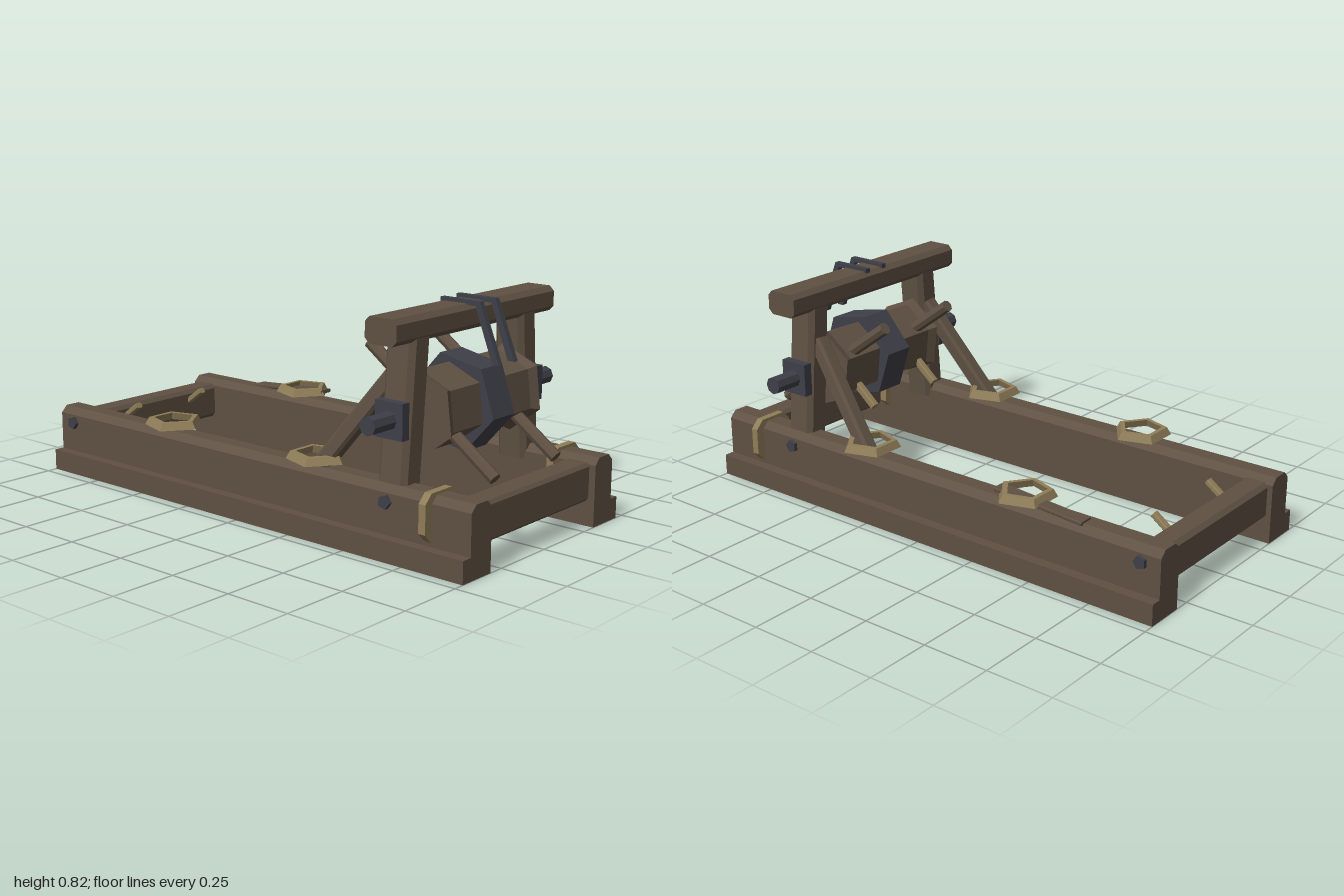
import * as THREE from 'three';

const wood = new THREE.MeshStandardMaterial({ color: 0x5f5143 });
wood.name = 'wood';
const rope = new THREE.MeshStandardMaterial({ color: 0x8f7d58 });
rope.name = 'rope';
const iron = new THREE.MeshStandardMaterial({ color: 0x3f3f49 });
iron.name = 'iron';

const V = (x, y, z) => new THREE.Vector3(x, y, z);
const AXLE_Y = 0.465, AXLE_Z = 0.652;

// Faceted normals for low-poly round parts
function faceted(geo) {
  const g = geo.index ? geo.toNonIndexed() : geo;
  g.computeVertexNormals();
  return g;
}

function poly(points) {
  return new THREE.Shape(points.map(([x, y]) => new THREE.Vector2(x, y)));
}

// Rectangle with cut corners
function chamferRect(w, h, c) {
  const a = w / 2, b = h / 2;
  return poly([[-a + c, -b], [a - c, -b], [a, -b + c], [a, b - c], [a - c, b], [-a + c, b], [-a, b - c], [-a, -b + c]]);
}

function extrude(shape, depth) {
  return new THREE.ExtrudeGeometry(shape, { depth, bevelEnabled: false }).translate(0, 0, -depth / 2);
}

// Chamfered beam from a to b; w is measured along the side direction
function beam(a, b, w, h, c, side) {
  const dir = b.clone().sub(a), len = dir.length();
  dir.normalize();
  const up = dir.clone().cross(side).normalize();
  const right = up.clone().cross(dir).normalize();
  const mid = a.clone().add(b).multiplyScalar(0.5);
  const m = new THREE.Matrix4().makeBasis(right, up, dir).setPosition(mid);
  return extrude(chamferRect(w, h, c), len).applyMatrix4(m);
}

// Lathed solid turned to lie along x
function turned(points, sides, phase = 0) {
  const pts = points.map(([r, y]) => new THREE.Vector2(r, y));
  return faceted(new THREE.LatheGeometry(pts, sides, phase).rotateZ(-Math.PI / 2));
}

function rod(r, x0, x1, sides) {
  return turned([[0, x0], [r, x0], [r, x1], [0, x1]], sides);
}

export function createModel() {
  const model = new THREE.Group();
  model.name = 'windlassFrame';
  const add = (name, geo, mat) => {
    const mesh = new THREE.Mesh(geo, mat);
    mesh.name = name;
    model.add(mesh);
    return mesh;
  };
  const X = V(1, 0, 0), Z = V(0, 0, 1);

  // Cross beams and top beam
  add('frontCrossBeam', beam(V(-0.32, 0.16, 0.925), V(0.32, 0.16, 0.925), 0.1, 0.14, 0.012, Z), wood);
  add('backCrossBeam', beam(V(-0.32, 0.16, -0.93), V(0.32, 0.16, -0.93), 0.1, 0.14, 0.015, Z), wood);
  add('topBeam', beam(V(-0.45, 0.765, 0.65), V(0.45, 0.765, 0.65), 0.13, 0.09, 0.018, Z), wood);

  for (const s of [-1, 1]) {
    const side = s > 0 ? 'left' : 'right';

    // Stepped side beam with chamfered top
    const section = [[0.31, 0], [0.46, 0], [0.46, 0.08], [0.42, 0.08], [0.42, 0.225], [0.395, 0.25], [0.335, 0.25], [0.31, 0.225]];
    const pts = section.map(([x, y]) => [s * x, y]);
    add(side + 'SideBeam', extrude(poly(s > 0 ? pts : pts.reverse()), 2), wood);

    // Leaning post and rear brace
    add(side + 'Post', beam(V(s * 0.348, 0.2, 0.65), V(s * 0.303, 0.75, 0.65), 0.1, 0.12, 0.018, X), wood);
    add(side + 'Brace', beam(V(s * 0.365, 0.215, 0.3), V(s * 0.31, 0.6, 0.605), 0.06, 0.06, 0.01, X), wood);

    // Axle bearing and protruding axle end
    add(side + 'BearingPlate', new THREE.BoxGeometry(0.035, 0.125, 0.115).translate(s * 0.387, AXLE_Y, 0.65), iron);
    add(side + 'AxleEnd', rod(0.033, -0.07, 0.07, 8).translate(s * 0.443, AXLE_Y, 0.65), iron);

    // Bolts
    for (const z of [0.655, -0.925]) {
      add(side + 'Bolt', rod(0.025, -0.015, 0.015, 5).translate(s * 0.42, 0.195, z), iron);
    }

    // Rope lashing around the front of the beam
    add(side + 'Lashing', extrude(chamferRect(0.172, 0.165, 0.032), 0.028).translate(s * 0.368, 0.178, 0.83), rope);

    // Five-sided rope coils on top of the beam
    const ring = [[0.112, 0.262], [0.096, 0.29], [0.076, 0.29], [0.088, 0.262], [0.112, 0.262]];
    for (const z of [0.305, -0.412]) {
      const geo = new THREE.LatheGeometry(ring.map(([r, y]) => new THREE.Vector2(r, y)), 5);
      add(side + 'RopeCoil', faceted(geo).translate(s * 0.361, 0, z), rope);
    }

    // Handle spoke through the drum
    const spoke = new THREE.CylinderGeometry(0.023, 0.023, 0.66, 8);
    spoke.rotateX(-Math.atan2(0.55, 0.4)).translate(s * 0.18, 0.463, AXLE_Z);
    add(side + 'Spoke', faceted(spoke), wood);

    // Loose rope ends at the drum and the back beam
    const rx = s > 0 ? 0.168 : -0.182;
    add(side + 'DrumRopeEnd', beam(V(rx, 0.4, 0.55), V(rx, 0.325, 0.46), 0.028, 0.028, 0.004, X), rope);
    add(side + 'BackRopeEnd', beam(V(rx, 0.175, -0.9), V(rx, 0.24, -0.81), 0.028, 0.022, 0.004, X), rope);

    // Iron hook bent over the top beam
    const hook = poly([[0.59, 0.805], [0.735, 0.805], [0.808, 0.615], [0.835, 0.615], [0.752, 0.822], [0.59, 0.822]]);
    add(side + 'Hook', extrude(hook, 0.021).rotateY(-Math.PI / 2).scale(1, 1, 1).translate(s * 0.045, 0, 0), iron);
  }

  // Drum with flared ends, inner axle and iron band
  const deg = Math.PI / 180;
  const drum = turned([[0, -0.26], [0.157, -0.26], [0.14, -0.225], [0.14, 0.225], [0.157, 0.26], [0, 0.26]], 6, 23 * deg);
  add('drum', drum.translate(0, AXLE_Y, AXLE_Z), wood);
  add('innerAxle', rod(0.035, -0.37, 0.37, 8).translate(0, AXLE_Y, AXLE_Z), wood);
  const band = turned([[0, -0.061], [0.175, -0.061], [0.175, 0.061], [0, 0.061]], 6, 11.5 * deg);
  add('drumBand', band.translate(0, AXLE_Y, AXLE_Z), iron);

  // Thin lever resting on the left beam
  add('lever', beam(V(0.382, 0.276, -0.31), V(0.382, 0.25, -0.68), 0.055, 0.014, 0.003, X), wood);

  return model;
}
